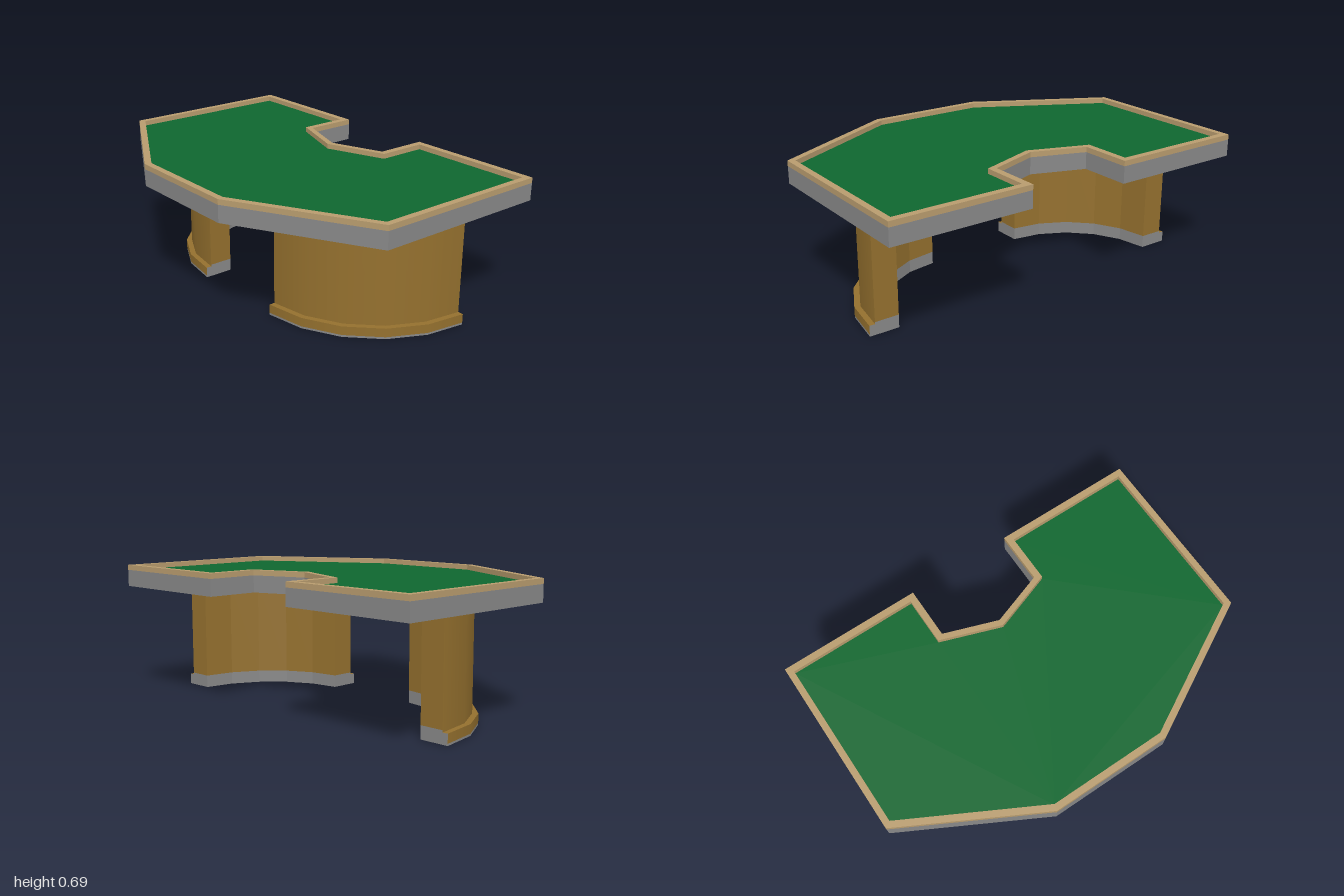
import * as THREE from 'three';

const material = (name, color, side = THREE.FrontSide) => {
  const m = new THREE.MeshStandardMaterial({ color, side });
  m.name = name;
  return m;
};

export function createModel() {
  const grey = material('grey', 0x888888);
  const tan = material('tan trim', 0xb89c6e);
  const wood = material('brown wood', 0x94702e);
  const felt = material('green felt', 0x0e672f);

  const add = (parent, name, geometry, mat) => {
    const mesh = new THREE.Mesh(geometry, mat);
    mesh.name = name;
    parent.add(mesh);
    return mesh;
  };

  // Half outlines run from the notch tip to the far side; the other half is mirrored
  const outline = (half) => {
    const mirrored = half.filter(([, z]) => z !== 0).reverse().map(([x, z]) => [x, -z]);
    return [...half, ...mirrored].map(([x, z]) => new THREE.Vector2(x, z));
  };
  const outer = outline([[0.288, 0], [0.385, 0.273], [0.655, 0.273], [0.655, 1], [-0.282, 1], [-0.655, 0.312]]);
  const inner = outline([[0.256, 0], [0.366, 0.308], [0.62, 0.308], [0.62, 0.968], [-0.262, 0.968], [-0.622, 0.302]]);

  const slab = (shape, bottom, top) =>
    new THREE.ExtrudeGeometry(shape, { depth: top - bottom, bevelEnabled: false })
      .rotateX(-Math.PI / 2).translate(0, bottom, 0);

  const model = new THREE.Group();
  model.name = 'gamingTable';

  // Tabletop: slab, raised rim and recessed playing surface
  const top = new THREE.Group();
  top.name = 'tabletop';
  model.add(top);
  add(top, 'tableSlab', slab(new THREE.Shape(outer), 0.576, 0.663), grey);
  const rim = new THREE.Shape(outer);
  rim.holes.push(new THREE.Path(inner));
  add(top, 'raisedRim', slab(rim, 0.663, 0.69), tan);
  add(top, 'feltSurface', slab(new THREE.Shape(inner), 0.6632, 0.6645), felt);

  // Legs: quarter-ring walls, each with a projecting plinth
  const R_IN = 0.504, R_OUT = 0.628, R_BASE = 0.657;
  const Y_LIP = 0.01, Y_STEP = 0.055, Y_BASE = 0.065, Y_TOP = 0.576;
  const QUARTER = Math.PI / 2;

  // Sweeps one straight profile edge round the quarter circle
  const sweep = (a, b, start, flat) => {
    const points = [a, b].map(([r, y]) => new THREE.Vector2(r, y));
    let g = new THREE.LatheGeometry(points, 5, start, QUARTER);
    if (flat) {
      g = g.toNonIndexed();
      g.computeVertexNormals();
    }
    return g;
  };

  // Flat cross-section closing one end of the sweep
  const endCap = (points, angle, atStart) => {
    const s = atStart ? 1 : -1;
    const shape = new THREE.Shape(points.map(([r, y]) => new THREE.Vector2(s * r, y)));
    return new THREE.ShapeGeometry(shape).rotateY(angle - QUARTER + (atStart ? 0 : Math.PI));
  };

  const wallSection = [[R_IN, Y_BASE], [R_OUT, Y_BASE], [R_OUT, Y_TOP], [R_IN, Y_TOP]];
  const baseSection = [[R_IN, 0], [R_BASE, 0], [R_BASE, Y_STEP], [R_OUT, Y_STEP], [R_OUT, Y_BASE], [R_IN, Y_BASE]];

  const leg = (name, start, z) => {
    const g = new THREE.Group();
    g.name = name;
    g.position.set(0.315, 0, z);
    model.add(g);
    add(g, 'wallOutside', sweep([R_OUT, Y_STEP], [R_OUT, Y_TOP], start), wood);
    add(g, 'wallInside', sweep([R_IN, Y_TOP], [R_IN, Y_BASE], start, true), wood);
    add(g, 'plinthStep', sweep([R_BASE, Y_STEP], [R_OUT, Y_STEP], start, true), wood);
    add(g, 'plinthOutside', sweep([R_BASE, Y_LIP], [R_BASE, Y_STEP], start), wood);
    add(g, 'plinthFootStrip', sweep([R_BASE, 0], [R_BASE, Y_LIP], start), grey);
    add(g, 'plinthInside', sweep([R_IN, Y_BASE], [R_IN, 0], start, true), grey);
    add(g, 'plinthUnderside', sweep([R_IN, 0], [R_BASE, 0], start, true), grey);
    for (const atStart of [true, false]) {
      const angle = atStart ? start : start + QUARTER;
      add(g, 'wallEnd', endCap(wallSection, angle, atStart), wood);
      add(g, 'plinthEnd', endCap(baseSection, angle, atStart), grey);
    }
  };
  leg('frontLeg', Math.PI * 1.5, 0.272);
  leg('backLeg', Math.PI, -0.272);

  return model;
}
